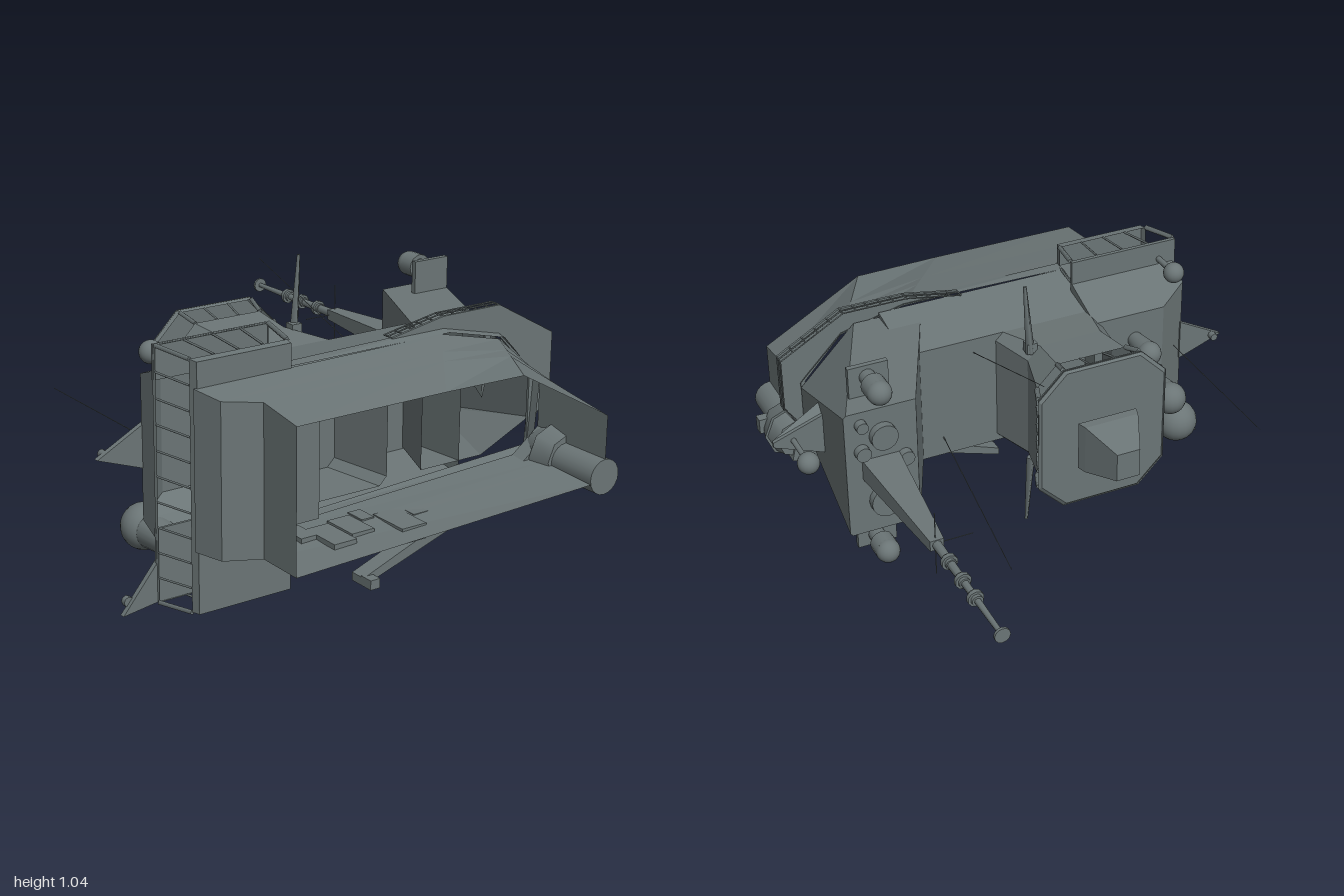
import * as THREE from 'three';

const paint = new THREE.MeshStandardMaterial({ color: 0x6b7576, side: THREE.DoubleSide });
paint.name = 'hull grey';

export function createModel() {
  const root = new THREE.Group();
  root.name = 'shipSuperstructure';

  const add = (name, geo) => {
    const m = new THREE.Mesh(geo, paint);
    m.name = name;
    root.add(m);
    return m;
  };
  const box = (name, x0, x1, y0, y1, z0, z1) =>
    add(name, new THREE.BoxGeometry(x1 - x0, y1 - y0, z1 - z0))
      .position.set((x0 + x1) / 2, (y0 + y1) / 2, (z0 + z1) / 2);

  // Flat-sided shell through rings [z, [[x, y], ...]], from high z to low z
  const loft = (name, rings, cap = false) => {
    const v = [];
    const p = (r, i) => [...r[1][i % r[1].length], r[0]];
    const n = rings[0][1].length;
    for (let k = 0; k + 1 < rings.length; k++) {
      const a = rings[k], b = rings[k + 1];
      for (let i = 0; i < n; i++) {
        v.push(...p(a, i), ...p(b, i), ...p(a, i + 1));
        v.push(...p(a, i + 1), ...p(b, i), ...p(b, i + 1));
      }
    }
    if (cap) {
      const t = rings[rings.length - 1];
      for (let i = 1; i + 1 < n; i++) v.push(...p(t, 0), ...p(t, i + 1), ...p(t, i));
    }
    const g = new THREE.BufferGeometry();
    g.setAttribute('position', new THREE.Float32BufferAttribute(v, 3));
    g.computeVertexNormals();
    return add(name, g);
  };
  const rect = (x0, x1, y0, y1) => [[x0, y0], [x1, y0], [x1, y1], [x0, y1]];
  const oct = (x0, x1, y0, y1, c) => [[x0 + c, y0], [x1 - c, y0], [x1, y0 + c], [x1, y1 - c],
    [x1 - c, y1], [x0 + c, y1], [x0, y1 - c], [x0, y0 + c]];

  // Tapered round bar between two points
  const rod = (name, a, b, ra, rb = ra, seg = 8) => {
    const A = new THREE.Vector3(...a), B = new THREE.Vector3(...b);
    const m = add(name, new THREE.CylinderGeometry(rb, ra, A.distanceTo(B), seg));
    m.position.copy(A).add(B).multiplyScalar(0.5);
    m.quaternion.setFromUnitVectors(new THREE.Vector3(0, 1, 0), B.sub(A).normalize());
  };
  const ball = (name, x, y, z, r) =>
    add(name, new THREE.SphereGeometry(r, 20, 14)).position.set(x, y, z);
  // Flat plate from an outline, with an optional hole
  const plate = (name, pts, z0, z1, hole) => {
    const s = new THREE.Shape(pts.map(q => new THREE.Vector2(...q)));
    if (hole) s.holes.push(new THREE.Path(hole.map(q => new THREE.Vector2(...q))));
    add(name, new THREE.ExtrudeGeometry(s, { depth: z1 - z0, bevelEnabled: false }))
      .position.z = z0;
  };

  // Open window band: sill, head and posts between two rings
  const windows = (name, lo, hi, zLo, zHi, step, sill, head) => {
    const at = t => [zLo + (zHi - zLo) * t,
      lo.map((q, i) => [q[0] + (hi[i][0] - q[0]) * t, q[1] + (hi[i][1] - q[1]) * t])];
    loft(name + 'Sill', [at(0), at(sill)]);
    loft(name + 'Head', [at(head), at(1)]);
    const [zs, s] = at(sill), [zh, h] = at(head);
    s.forEach((q, i) => {
      const j = (i + 1) % s.length;
      const n = Math.max(1, Math.round(Math.hypot(s[j][0] - q[0], s[j][1] - q[1]) / step));
      for (let k = 0; k < n; k++) {
        const mix = (r) => [r[i][0] + (r[j][0] - r[i][0]) * k / n, r[i][1] + (r[j][1] - r[i][1]) * k / n];
        rod(name + 'Post', [...mix(s), zs], [...mix(h), zh], k ? 0.005 : 0.01, k ? 0.005 : 0.01, 4);
      }
    });
  };

  // Lower hull, open at its base
  const foot = [[-0.58, 0.26], [0.7, 0.3], [0.72, 0.34], [0.72, 0.54], [0.33, 0.755], [0, 0.76], [-0.58, 0.76]];
  const deck = [[-0.74, 0.26], [0.7, 0.32], [0.72, 0.34], [0.72, 0.6], [0.55, 0.76], [0.3, 0.83], [-0.74, 0.82]];
  const hullRing = (z, xl) => {
    const t = (1 - z) / 0.4;
    return [z, foot.map((q, i) => [i === 0 || i === 6 ? xl : q[0] + (deck[i][0] - q[0]) * t,
      q[1] + (deck[i][1] - q[1]) * t])];
  };
  loft('lowerHull', [hullRing(1, -0.58), hullRing(0.82, -0.58), hullRing(0.76, -0.7), hullRing(0.65, -0.73)]);
  loft('middleHull', [
    [0.65, [[-0.36, 0.27], [0.7, 0.31], [0.72, 0.57], [0.55, 0.76], [0.3, 0.82], [-0.36, 0.82]]],
    [0.6, [[-0.36, 0.27], [0.7, 0.32], [0.72, 0.6], [0.55, 0.77], [0.3, 0.83], [-0.36, 0.82]]],
  ]);
  loft('middleDeck', [[0.6, rect(-0.36, 0.4, 0.27, 0.82)], [0.35, rect(-0.36, 0.4, 0.3, 0.77)]], true);
  box('innerRoom', -0.58, -0.35, 0.34, 0.735, 0.66, 0.8);

  // Bridge with wings to both sides
  windows('bridge', rect(-0.72, -0.36, 0.04, 0.9), rect(-0.77, -0.33, 0.03, 0.92), 0.65, 0.47, 0.085, 0.15, 0.93);
  for (const [y0, y1] of [[0.04, 0.27], [0.81, 0.9]]) {
    box('wingFloor', -0.72, -0.36, y0, y1, 0.645, 0.655);
    box('wingRoof', -0.77, -0.33, y0 - 0.01, y1 + 0.02, 0.465, 0.475);
  }
  loft('bridgeRoof', [[0.47, rect(-0.76, -0.33, 0.24, 0.83)], [0.36, rect(-0.75, -0.33, 0.28, 0.79)],
    [0.27, rect(-0.62, -0.33, 0.32, 0.76)]], true);
  plate('bowPlatform', [[-0.92, 0.525], [-0.74, 0.46], [-0.74, 0.62]], 0.345, 0.365);
  plate('cornerPlatform', [[-0.9, 0.01], [-0.7, 0.04], [-0.76, 0.18]], 0.455, 0.475);
  rod('platformLamp', [-0.88, 0.53, 0.35], [-0.88, 0.53, 0.32], 0.015);
  rod('cornerLamp', [-0.87, 0.05, 0.46], [-0.87, 0.05, 0.44], 0.018);

  // Radar domes over the bridge
  rod('bigDomeNeck', [-0.7, 0.22, 0.47], [-0.7, 0.22, 0.3], 0.05, 0.065, 20);
  ball('bigDome', -0.7, 0.22, 0.28, 0.082);
  rod('ballPost', [-0.7, 0.85, 0.47], [-0.7, 0.85, 0.36], 0.012);
  ball('smallBall', -0.7, 0.85, 0.345, 0.04);
  rod('domeNeck', [-0.585, 0.44, 0.27], [-0.585, 0.44, 0.14], 0.04, 0.058, 20);
  ball('dome', -0.585, 0.44, 0.135, 0.062);
  rod('domeNeck', [-0.5, 0.65, 0.27], [-0.5, 0.65, 0.15], 0.03, 0.045, 20);
  ball('dome', -0.5, 0.65, 0.155, 0.046);

  // Control tower with its windowed cabin
  loft('tower', [[0.6, oct(-0.37, 0.08, 0.3, 0.77, 0.03)], [0.35, oct(-0.37, 0.04, 0.3, 0.77, 0.03)],
    [0.18, oct(-0.355, -0.01, 0.285, 0.785, 0.05)], [0.02, oct(-0.4, 0.03, 0.27, 0.8, 0.08)]]);
  windows('cabin', oct(-0.4, 0.03, 0.27, 0.8, 0.08), oct(-0.44, 0.07, 0.25, 0.83, 0.1),
    0.02, -0.08, 0.08, 0.05, 0.8);
  loft('cabinRoof', [[-0.075, oct(-0.44, 0.07, 0.25, 0.83, 0.1)], [-0.085, oct(-0.43, 0.06, 0.26, 0.82, 0.1)]], true);
  loft('radarHousing', [[-0.08, rect(-0.2, -0.12, 0.52, 0.59)], [-0.1, rect(-0.2, -0.12, 0.52, 0.59)],
    [-0.155, rect(-0.28, -0.05, 0.46, 0.65)], [-0.19, rect(-0.27, -0.06, 0.46, 0.65)],
    [-0.34, rect(-0.2, -0.11, 0.5, 0.61)]], true);
  rod('upperYard', [-0.025, 0.76, 0.19], [-0.005, 1.04, 0.19], 0.018, 0.007, 4);
  rod('lowerYard', [-0.025, 0.3, 0.19], [-0.005, 0.02, 0.19], 0.018, 0.007, 4);
  box('towerLamp', -0.05, -0.01, 0.76, 0.8, 0.18, 0.22);

  // Funnel block with exhausts
  loft('funnel', [
    [0.6, [[0.23, 0.32], [0.5, 0.32], [0.72, 0.42], [0.72, 0.58], [0.5, 0.8], [0.23, 0.8]]],
    [0.03, [[0.49, 0.29], [0.75, 0.29], [0.76, 0.3], [0.76, 0.79], [0.75, 0.8], [0.49, 0.8]]],
  ], true);
  for (const [x, y, r] of [[0.62, 0.42, 0.062], [0.62, 0.69, 0.05], [0.54, 0.58, 0.028], [0.7, 0.64, 0.028], [0.7, 0.75, 0.022]])
    rod('exhaust', [x, y, 0.06], [x, y, 0], r, r, 16);
  for (const [y, y0, y1] of [[0.875, 0.79, 0.92], [0.2, 0.155, 0.3]]) {
    box('domeBracket', 0.55, 0.7, y0, y1, 0.125, 0.145);
    rod('domeStem', [0.63, y, 0.13], [0.63, y, 0.06], 0.03, 0.03, 12);
    rod('domeBody', [0.63, y, 0.07], [0.63, y, 0.01], 0.045, 0.045, 16);
    ball('domeCap', 0.63, y, 0.01, 0.045);
  }

  // Mast with collars, tip disc and cross arms
  loft('mastBase', [[0.03, rect(0.56, 0.7, 0.52, 0.6)], [-0.48, rect(0.61, 0.66, 0.54, 0.58)]], true);
  rod('mastPole', [0.635, 0.56, -0.47], [0.635, 0.56, -1], 0.018, 0.009);
  for (const z of [-0.58, -0.69, -0.79]) {
    rod('mastCollar', [0.635, 0.56, z + 0.02], [0.635, 0.56, z - 0.02], 0.02, 0.02, 10);
    rod('mastCollarRim', [0.635, 0.56, z + 0.008], [0.635, 0.56, z - 0.008], 0.029, 0.029, 10);
  }
  rod('mastDisc', [0.635, 0.56, -0.99], [0.635, 0.56, -1], 0.028, 0.028, 12);
  rod('crossArm', [0.5, 0.56, -0.47], [0.64, 0.56, -0.47], 0.002, 0.002, 4);
  rod('crossArm', [0.635, 0.43, -0.465], [0.635, 0.68, -0.465], 0.002, 0.002, 4);

  // Whip aerials
  rod('aerial', [0.13, 0.71, 0.36], [0.13, 0.91, -0.25], 0.002, 0.0015, 4);
  rod('aerial', [0.26, 0.38, 0.36], [0.26, 0.17, -0.25], 0.002, 0.0015, 4);
  rod('aerial', [-0.7, 0.54, 0.32], [-0.7, 0.54, -0.33], 0.002, 0.0015, 4);

  // Side sponson carrying a ball
  loft('sponson', [[0.365, [[0.7, 0.43], [0.73, 0.55], [0.73, 0.57], [0.7, 0.68]]],
    [0.325, [[0.7, 0.46], [0.93, 0.55], [0.93, 0.57], [0.7, 0.65]]],
    [0.31, [[0.7, 0.46], [0.93, 0.55], [0.93, 0.57], [0.7, 0.65]]]], true);
  rod('sponsonPost', [0.855, 0.56, 0.32], [0.855, 0.56, 0.18], 0.011);
  ball('sponsonBall', 0.855, 0.56, 0.155, 0.041);

  // Walkway around the funnel, with rails
  const walk = [[0.08, 0.83], [0.3, 0.87], [0.55, 0.87], [0.8, 0.73], [0.8, 0.52], [0.72, 0.4]];
  plate('walkway', [...walk, [0.7, 0.34], [0.7, 0.6], [0.55, 0.76], [0.3, 0.82], [0.08, 0.82]], 0.607, 0.617);
  for (let i = 0; i + 1 < walk.length; i++) {
    const [a, b] = [walk[i], walk[i + 1]];
    for (const z of [0.57, 0.59]) rod('walkwayRail', [...a, z], [...b, z], 0.003, 0.003, 4);
    for (let k = 0; k < 5; k++) {
      const x = a[0] + (b[0] - a[0]) * k / 5, y = a[1] + (b[1] - a[1]) * k / 5;
      rod('railPost', [x, y, 0.61], [x, y, 0.57], 0.003, 0.003, 4);
    }
  }

  // Crane on its pedestal
  rod('cranePedestal', [0.72, 0.315, 1], [0.72, 0.315, 0.68], 0.065, 0.065, 20);
  rod('craneTurntable', [0.73, 0.32, 0.8], [0.73, 0.32, 0.72], 0.09, 0.11, 8);
  rod('cranePivot', [0.73, 0.32, 0.72], [0.73, 0.32, 0.66], 0.1, 0.08, 8);
  plate('craneArm', [[-0.1, 0.005], [0.4, 0.17], [0.6, 0.2], [0.76, 0.23], [0.72, 0.4], [0.6, 0.31], [0.35, 0.205], [-0.1, 0.035]], 0.65, 0.715);
  box('craneHook', -0.1, -0.06, 0.005, 0.04, 0.7, 0.755);
  box('pedestalBox', 0.77, 0.84, 0.3, 0.36, 0.78, 0.82);

  // Equipment lockers along the low side
  for (const [x0, x1, y0, z0, z1] of [[-0.42, -0.36, 0.24, 0.7, 0.8], [-0.36, -0.27, 0.23, 0.74, 0.9], [-0.26, -0.17, 0.245, 0.72, 0.86],
    [-0.16, -0.11, 0.22, 0.7, 0.78], [-0.1, 0, 0.23, 0.76, 0.92], [0.01, 0.07, 0.215, 0.72, 0.84], [0.08, 0.15, 0.21, 0.7, 0.82]])
    box('locker', x0, x1, y0, 0.285, z0, z1);

  return root;
}
